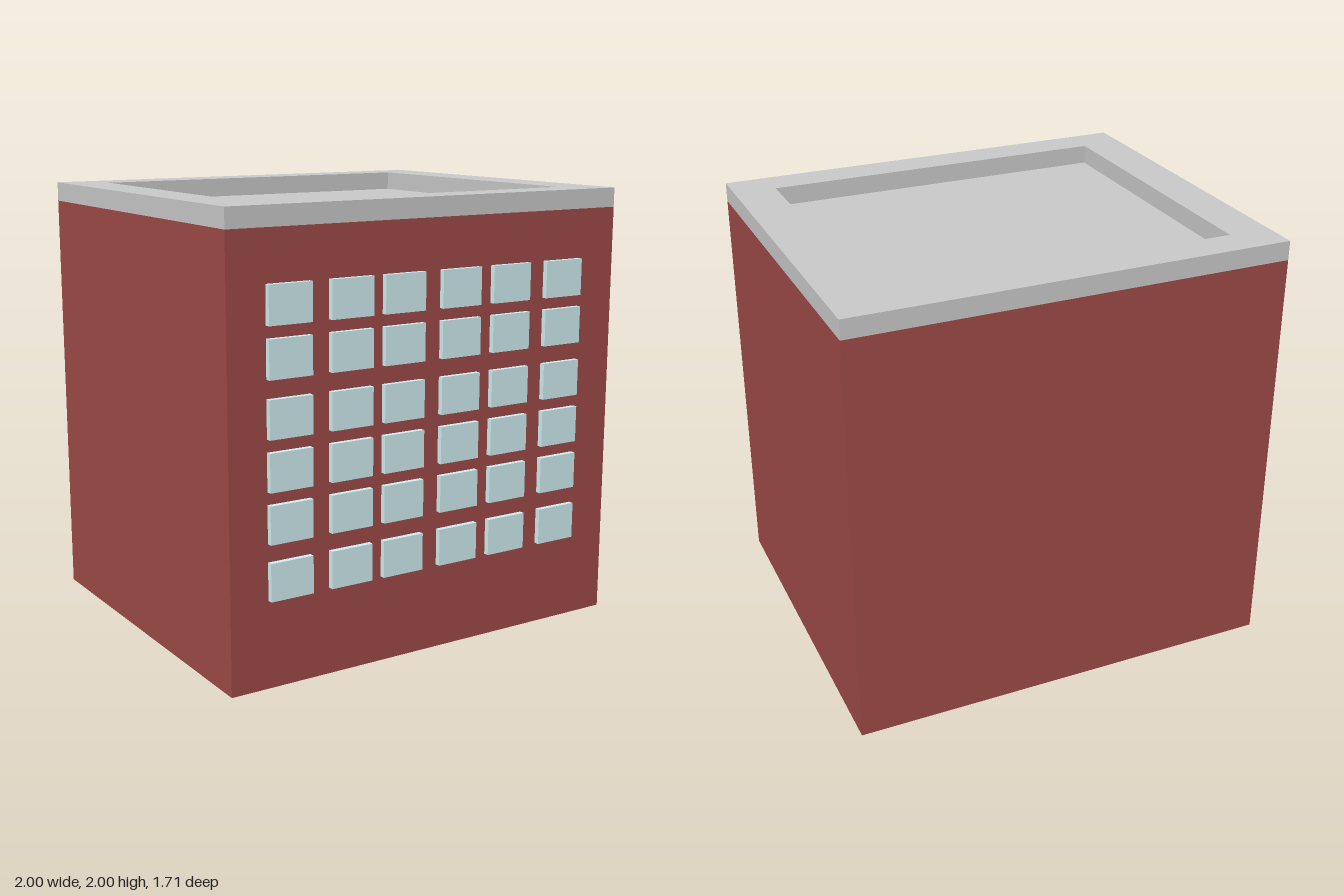
import * as THREE from 'three';

const BACK = -0.857, FRONT = 0.832;
const DEPTH = FRONT - BACK, MID_Z = (FRONT + BACK) / 2;
const WALL_TOP = 1.913, TOP = 2;

const material = (color) => new THREE.MeshStandardMaterial({ color });

// Rectangle centred on the origin, usable as an outline or a hole
function rectangle(Type, w, h) {
  const path = new Type();
  path.moveTo(-w / 2, -h / 2);
  path.lineTo(w / 2, -h / 2);
  path.lineTo(w / 2, h / 2);
  path.lineTo(-w / 2, h / 2);
  path.closePath();
  return path;
}

export function createModel() {
  const building = new THREE.Group();
  building.name = 'building';
  const brick = material(0x9f4b48);
  const grey = material(0xcccccc);
  const glass = material(0xd2f1f5);

  // Brick walls with a grey roof deck and underside
  const walls = new THREE.Mesh(
    new THREE.BoxGeometry(2, WALL_TOP, DEPTH),
    [brick, brick, grey, grey, brick, brick]
  );
  walls.name = 'walls';
  walls.position.set(0, WALL_TOP / 2, MID_Z);
  building.add(walls);

  // Raised rim around the sunken roof
  const rim = rectangle(THREE.Shape, 2, DEPTH);
  rim.holes.push(rectangle(THREE.Path, 1.61, 1.362));
  const parapet = new THREE.Mesh(
    new THREE.ExtrudeGeometry(rim, { depth: TOP - WALL_TOP, bevelEnabled: false }),
    grey
  );
  parapet.name = 'parapet';
  parapet.rotation.x = -Math.PI / 2;
  parapet.position.set(0, WALL_TOP, MID_Z);
  building.add(parapet);

  // Unevenly spaced grid of window panes standing proud of the front
  const windows = new THREE.Group();
  windows.name = 'windows';
  const columns = [-0.722, -0.428, -0.166, 0.128, 0.4, 0.695];
  const rows = [0.468, 0.711, 0.93, 1.149, 1.393, 1.61];
  const pane = new THREE.BoxGeometry(0.203, 0.165, 0.05);
  for (const y of rows) {
    for (const x of columns) {
      const windowPane = new THREE.Mesh(pane, glass);
      windowPane.name = 'windowPane';
      windowPane.position.set(x, y, FRONT);
      windows.add(windowPane);
    }
  }
  building.add(windows);

  return building;
}
